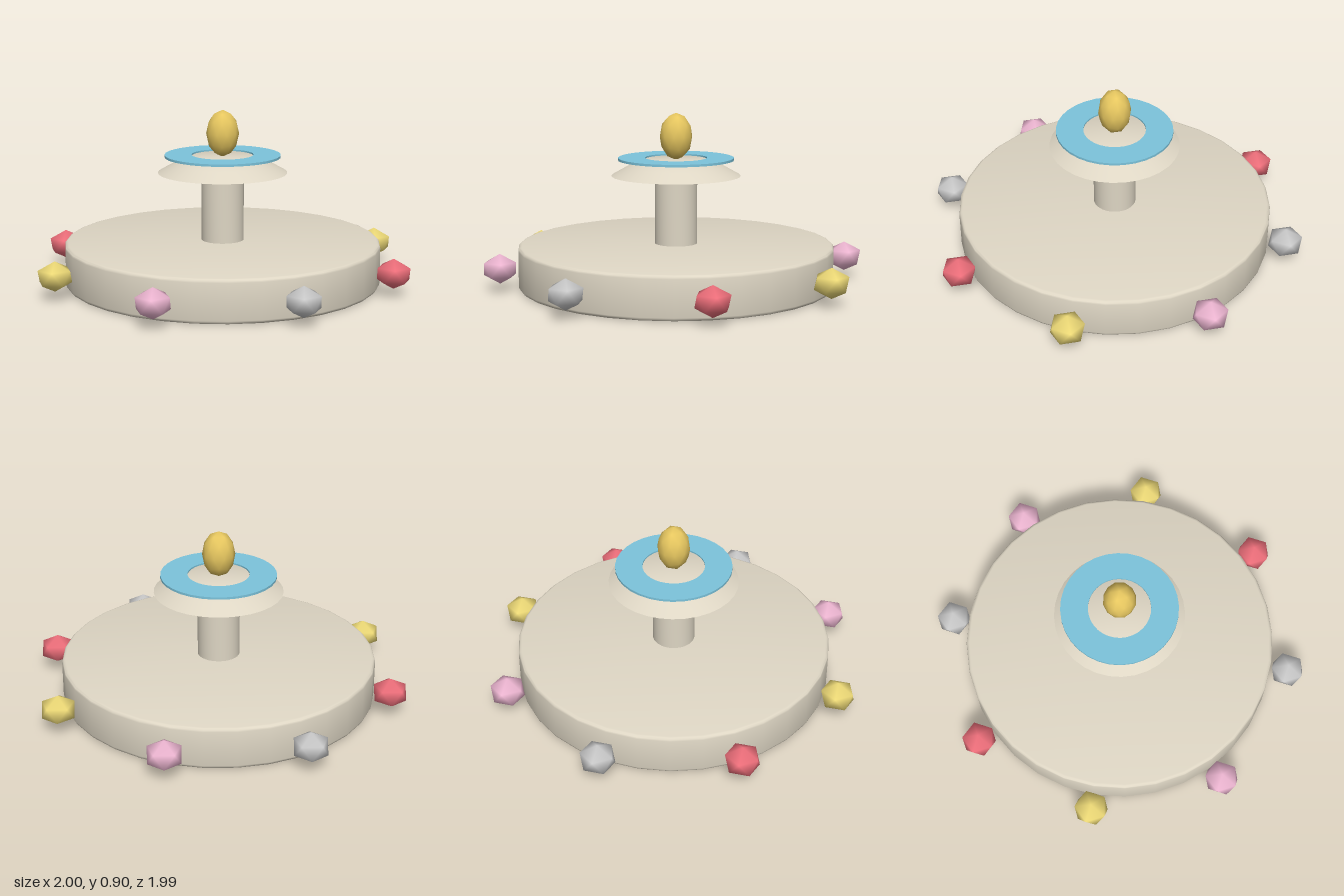
import * as THREE from 'three';
import { mergeVertices, toCreasedNormals } from 'three/addons/utils/BufferGeometryUtils.js';

const CREAM = 0xded6c4, BLUE = 0x7cc4dc, GOLD = 0xe8c860;
const GEM_COLORS = [0xf0707c, 0xf0dc78, 0xf0b8d4, 0xcccccc];

function part(name, geometry, color) {
  const mesh = new THREE.Mesh(geometry, new THREE.MeshStandardMaterial({ color }));
  mesh.name = name;
  return mesh;
}

// Turned part from [radius, height] points, listed bottom to top on the outside
function turned(points, segments = 32) {
  const profile = points.map(([r, y]) => new THREE.Vector2(r, y));
  return toCreasedNormals(new THREE.LatheGeometry(profile, segments), 0.6);
}

// Smooth-shaded icosahedral ball with a corner pointing straight up
function ball(detail, radius, halfHeight) {
  const raw = new THREE.IcosahedronGeometry(1, detail);
  raw.deleteAttribute('normal');
  raw.deleteAttribute('uv');
  const g = mergeVertices(raw, 1e-4);
  g.rotateX(-Math.atan((1 + Math.sqrt(5)) / 2));
  g.rotateY(Math.PI / 2);
  g.scale(radius, halfHeight, radius);
  g.computeVertexNormals();
  return g;
}

export function createModel() {
  const model = new THREE.Group();
  model.name = 'spinningTop';

  // Broad disc with rounded rims
  const R = 0.82, H = 0.22, b = 0.018;
  const rim = [[0, 0]];
  for (let i = 0; i <= 3; i++) {
    const a = (i / 3) * Math.PI / 2;
    rim.push([R - b + b * Math.sin(a), b - b * Math.cos(a)]);
  }
  for (let i = 0; i <= 3; i++) {
    const a = (i / 3) * Math.PI / 2;
    rim.push([R - b + b * Math.cos(a), H - b + b * Math.sin(a)]);
  }
  rim.push([0, H]);
  model.add(part('disc', turned(rim), CREAM));

  // Central column
  model.add(part('column', turned([[0, 0.2], [0.11, 0.2], [0.11, 0.6], [0, 0.6]]), CREAM));

  // Flared canopy on the column
  model.add(part('canopy', turned([
    [0, 0.575], [0.335, 0.575], [0.255, 0.62], [0.175, 0.66], [0, 0.66],
  ]), CREAM));

  // Thin ring lying on the canopy
  model.add(part('canopyRing', turned([
    [0.16, 0.656], [0.3, 0.656], [0.3, 0.668], [0.16, 0.668], [0.16, 0.656],
  ]), BLUE));

  // Egg-shaped finial
  const finial = part('finial', ball(1, 0.085, 0.122), GOLD);
  finial.position.y = 0.778;
  model.add(finial);

  // Eight gems floating around the rim
  const gems = new THREE.Group();
  gems.name = 'gems';
  const gemShape = ball(0, 0.0956, 0.0775);
  for (let i = 0; i < 8; i++) {
    const a = (i / 8) * Math.PI * 2;
    const gem = part('gem' + (i + 1), gemShape, GEM_COLORS[i % 4]);
    gem.position.set(0.9145 * Math.cos(a), 0.117, -0.9145 * Math.sin(a));
    gems.add(gem);
  }
  model.add(gems);

  return model;
}
